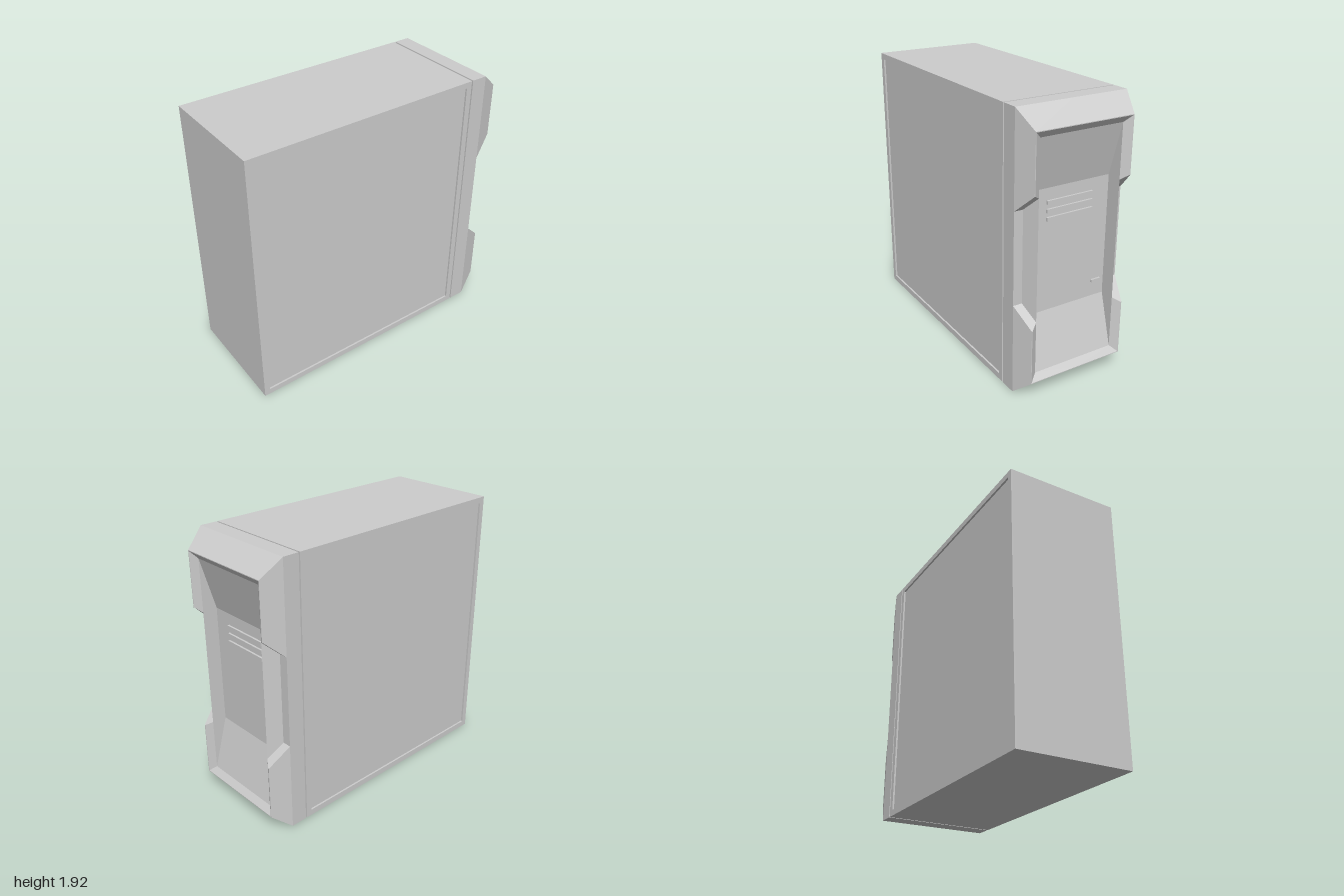
import * as THREE from 'three';

const H = 0.96; // half the height of the case

// Flat polygons mirrored into all four quadrants about the mid height and z = 0
function mirroredPanels(polys) {
  const pos = [];
  for (const sy of [1, -1]) for (const sz of [1, -1]) {
    for (const p of polys) {
      for (let i = 1; i < p.length - 1; i++) {
        const tri = sy * sz > 0 ? [p[0], p[i], p[i + 1]] : [p[0], p[i + 1], p[i]];
        for (const [x, y, z] of tri) pos.push(x, H + sy * y, sz * z);
      }
    }
  }
  const g = new THREE.BufferGeometry();
  g.setAttribute('position', new THREE.Float32BufferAttribute(pos, 3));
  g.computeVertexNormals();
  return g;
}

export function createModel() {
  const group = new THREE.Group();
  const grey = new THREE.MeshStandardMaterial({ color: 0xcccccc, side: THREE.DoubleSide });
  grey.name = 'case grey';

  const add = (name, geometry, x = 0, y = 0, z = 0) => {
    const m = new THREE.Mesh(geometry, grey);
    m.name = name;
    m.position.set(x, y, z);
    group.add(m);
    return m;
  };
  const box = (name, x0, x1, y0, y1, z0, z1) =>
    add(name, new THREE.BoxGeometry(x1 - x0, y1 - y0, z1 - z0),
      (x0 + x1) / 2, (y0 + y1) / 2, (z0 + z1) / 2);

  // Main body, with a raised border around each recessed side panel
  box('caseBody', -1, 0.733, 0, 2 * H, -0.397, 0.397);
  const border = new THREE.Shape([[-1, 0], [0.733, 0], [0.733, 1.92], [-1, 1.92]]
    .map(([x, y]) => new THREE.Vector2(x, y)));
  border.holes.push(new THREE.Path([[-0.96, 0.043], [-0.96, 1.877], [0.692, 1.877], [0.692, 0.043]]
    .map(([x, y]) => new THREE.Vector2(x, y))));
  const borderGeo = new THREE.ExtrudeGeometry(border, { depth: 0.013, bevelEnabled: false });
  add('leftPanelBorder', borderGeo, 0, 0, 0.397);
  add('rightPanelBorder', borderGeo, 0, 0, -0.41);

  // Narrow groove between body and bezel
  box('bezelGroove', 0.72, 0.75, 0.012, 1.908, -0.398, 0.398);

  // Depths of the bezel along x
  const back = 0.744, mid = 0.86, ridge = 0.965, tip = 1;

  // Outer shell: flat sides, bevels and thin lip
  add('bezelShell', mirroredPanels([
    [[back, 0, 0], [back, H, 0], [back, H, 0.41], [back, 0, 0.41]],
    [[back, 0, 0.41], [mid, 0, 0.41], [mid, H, 0.41], [back, H, 0.41]],
    [[back, H, 0], [back, H, 0.41], [mid, H, 0.41], [mid, H, 0]],
    [[mid, H, 0], [mid, H, 0.41], [tip, 0.84, 0.36], [tip, 0.84, 0]],
    [[mid, 0.32, 0.41], [tip, 0.45, 0.36], [tip, 0.84, 0.36], [mid, H, 0.41]],
    [[tip, 0.45, 0.355], [tip, 0.835, 0.355], [tip, 0.84, 0.36], [tip, 0.45, 0.36]],
    [[tip, 0.835, 0], [tip, 0.84, 0], [tip, 0.84, 0.36], [tip, 0.835, 0.355]],
  ]));

  // Side notches with sloping ends and a ridge next to the recess
  add('bezelNotches', mirroredPanels([
    [[mid, 0.32, 0.41], [mid, 0.32, 0.345], [ridge, 0.4175, 0.305], [tip, 0.45, 0.355], [tip, 0.45, 0.36]],
    [[mid, 0, 0.345], [mid, 0.32, 0.345], [mid, 0.32, 0.41], [mid, 0, 0.41]],
    [[mid, 0, 0.345], [ridge, 0, 0.305], [ridge, 0.4175, 0.305], [mid, 0.32, 0.345]],
  ]));

  // Inner chamfer, inner walls and dished floor of the recess
  add('bezelRecess', mirroredPanels([
    [[tip, 0.45, 0.355], [ridge, 0.4175, 0.305], [ridge, 0.79, 0.305], [tip, 0.835, 0.355]],
    [[tip, 0.835, 0], [tip, 0.835, 0.355], [ridge, 0.79, 0.305], [ridge, 0.79, 0]],
    [[mid, 0, 0.305], [mid, 0.423, 0.305], [ridge, 0.79, 0.305], [ridge, 0, 0.305]],
    [[mid, 0, 0], [mid, 0.423, 0], [mid, 0.423, 0.305], [mid, 0, 0.305]],
    [[mid, 0.423, 0], [ridge, 0.79, 0], [ridge, 0.79, 0.305], [mid, 0.423, 0.305]],
  ]));

  // Three vent bars and the power button on the recess floor
  [1.289, 1.233, 1.178].forEach((y, i) =>
    box('ventBar' + (i + 1), mid - 0.01, mid + 0.014, y - 0.013, y + 0.013, -0.175, 0.175));
  box('powerButton', mid - 0.01, mid + 0.014, 0.64, 0.66, -0.272, -0.2);

  return group;
}
